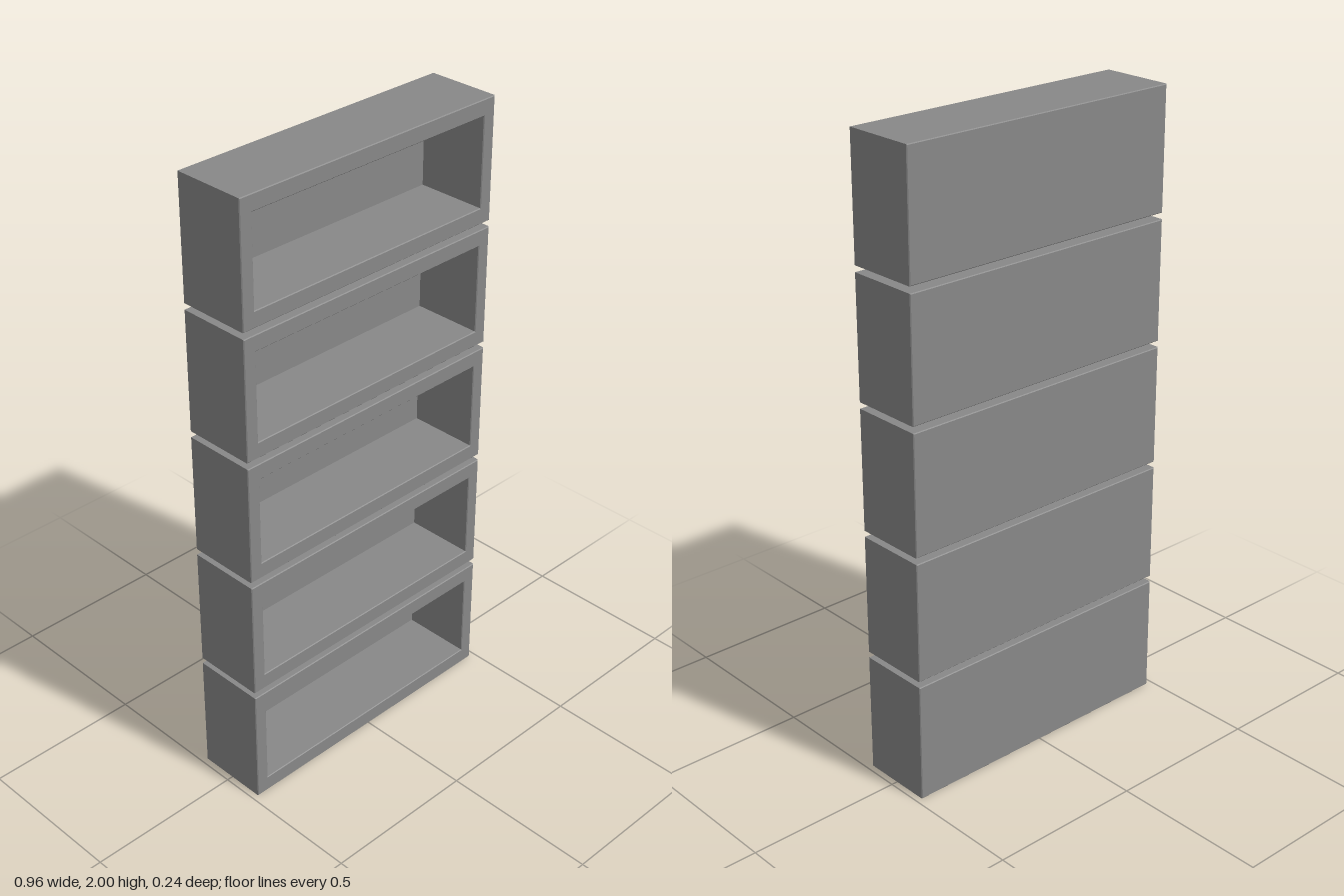
import * as THREE from 'three';

const W = 0.96, H = 0.384, D = 0.238;     // outer size of one box
const PITCH = 0.404, COUNT = 5;
const OPEN_W = 0.876, OPEN_H = 0.282;     // front opening
const BACK = 0.01, BEVEL = 0.0025;        // back panel thickness, edge chamfer

// Open-fronted box lofted through rectangular rings: outside back to front, then inside
function openBox() {
  const z = D / 2, b = BEVEL;
  const rings = [
    [W / 2 - b, H / 2 - b, -z],
    [W / 2, H / 2, -z + b],
    [W / 2, H / 2, z - b],
    [W / 2 - b, H / 2 - b, z],
    [OPEN_W / 2 + b, OPEN_H / 2 + b, z],
    [OPEN_W / 2, OPEN_H / 2, z - b],
    [OPEN_W / 2, OPEN_H / 2, -z + BACK],
  ].map(([x, y, d]) => [[-x, -y, d], [x, -y, d], [x, y, d], [-x, y, d]]);

  const pos = [];
  const quad = (p, q, r, s) => pos.push(...p, ...q, ...r, ...p, ...r, ...s);
  for (let i = 0; i < rings.length - 1; i++) {
    const a = rings[i], c = rings[i + 1];
    for (let k = 0; k < 4; k++) {
      const n = (k + 1) % 4;
      quad(a[k], a[n], c[n], c[k]);
    }
  }
  quad(...[...rings[0]].reverse());       // back face
  quad(...rings[rings.length - 1]);       // inner back wall

  const geo = new THREE.BufferGeometry();
  geo.setAttribute('position', new THREE.Float32BufferAttribute(pos, 3));
  geo.computeVertexNormals();
  return geo;
}

export function createModel() {
  const group = new THREE.Group();
  group.name = 'stackedShelfBoxes';
  const material = new THREE.MeshStandardMaterial({ color: 0x888888, flatShading: true });
  const geometry = openBox();
  // Vertical stack with narrow gaps
  for (let i = 0; i < COUNT; i++) {
    const box = new THREE.Mesh(geometry, material);
    box.name = `shelfBox${i + 1}`;
    box.position.y = H / 2 + i * PITCH;
    group.add(box);
  }
  return group;
}
